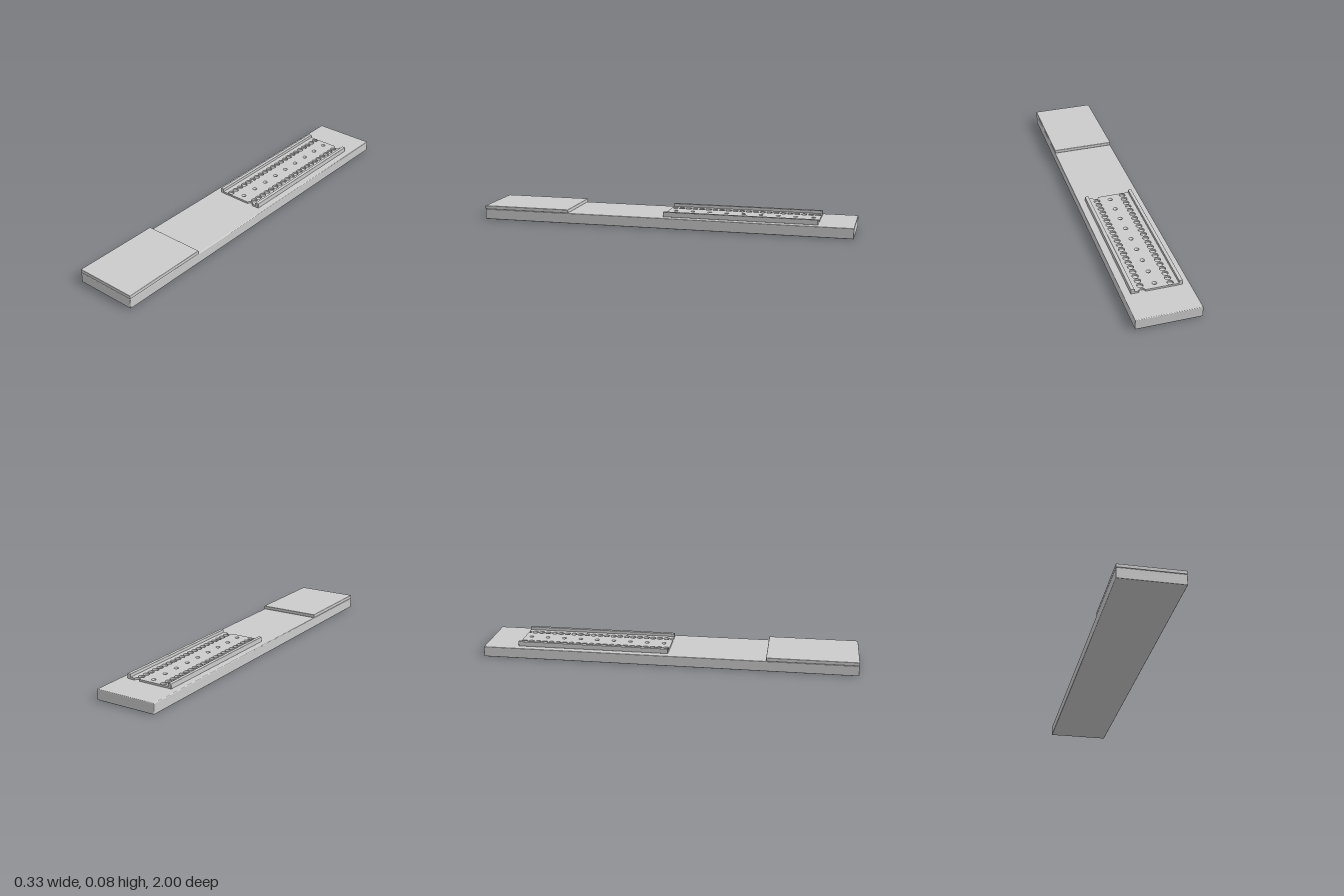
import * as THREE from 'three';
import { RoundedBoxGeometry } from 'three/addons/geometries/RoundedBoxGeometry.js';

const WIDTH = 0.334, DECK_TOP = 0.056;
const RAIL_LENGTH = 0.815, PLATE_TOP = 0.066, LIP_TOP = 0.082;
const ROWS = 22, PITCH = RAIL_LENGTH / ROWS, HOLE_R = 0.0158, ROW_X = 0.073;
const SCREW_R = 0.0115, SCREWS = 9;

export function createModel() {
  const model = new THREE.Group();
  const material = new THREE.MeshStandardMaterial({ color: 0xcccccc });
  const inner = new THREE.MeshStandardMaterial({ color: 0xcccccc, side: THREE.DoubleSide });

  const add = (name, geometry, x, y, z, mat = material) => {
    const mesh = new THREE.Mesh(geometry, mat);
    mesh.name = name;
    mesh.position.set(x, y, z);
    model.add(mesh);
    return mesh;
  };

  // Long base board and the raised pad on its front end
  add('board', new RoundedBoxGeometry(WIDTH, DECK_TOP, 2, 3, 0.004), 0, DECK_TOP / 2, 0);
  add('frontPad', new RoundedBoxGeometry(WIDTH, 0.019, 0.48, 3, 0.003), 0, DECK_TOP + 0.0095, 0.76);

  // Perforated plate: half holes cut into both ends of the left row
  const plate = new THREE.Shape();
  plate.moveTo(-0.113, 0);
  plate.lineTo(ROW_X - HOLE_R, 0);
  plate.absarc(ROW_X, 0, HOLE_R, Math.PI, 0, true);
  plate.lineTo(0.113, 0);
  plate.lineTo(0.113, RAIL_LENGTH);
  plate.lineTo(ROW_X + HOLE_R, RAIL_LENGTH);
  plate.absarc(ROW_X, RAIL_LENGTH, HOLE_R, 0, -Math.PI, true);
  plate.lineTo(-0.113, RAIL_LENGTH);
  plate.closePath();

  const punch = (x, d, r) => {
    const hole = new THREE.Path();
    hole.absarc(x, d, r, 0, Math.PI * 2, true);
    plate.holes.push(hole);
  };
  // The two rows are staggered by half a pitch
  for (let i = 0; i < ROWS; i++) {
    punch(-ROW_X, (i + 0.5) * PITCH, HOLE_R);
    if (i > 0) punch(ROW_X, i * PITCH, HOLE_R);
  }

  // Countersunk screw holes on the centre line
  const depth = PLATE_TOP - DECK_TOP;
  const sink = new THREE.CylinderGeometry(SCREW_R, 0.004, depth, 24, 1, true);
  for (let i = 0; i < SCREWS; i++) {
    const d = 0.04 + i * 0.0924;
    punch(0, d, SCREW_R);
    add('countersink', sink, 0, DECK_TOP + depth / 2, -d, inner);
  }

  const plateGeometry = new THREE.ExtrudeGeometry(plate, { depth, bevelEnabled: false, curveSegments: 12 });
  plateGeometry.rotateX(-Math.PI / 2);
  add('perforatedPlate', plateGeometry, 0, DECK_TOP, 0);

  // Upright lips along both sides of the plate
  const lipHeight = LIP_TOP - DECK_TOP;
  for (const side of [-1, 1]) {
    add(side > 0 ? 'leftLip' : 'rightLip', new RoundedBoxGeometry(0.018, lipHeight, RAIL_LENGTH, 2, 0.001),
      side * 0.121, DECK_TOP + lipHeight / 2, -RAIL_LENGTH / 2);
  }
  return model;
}
